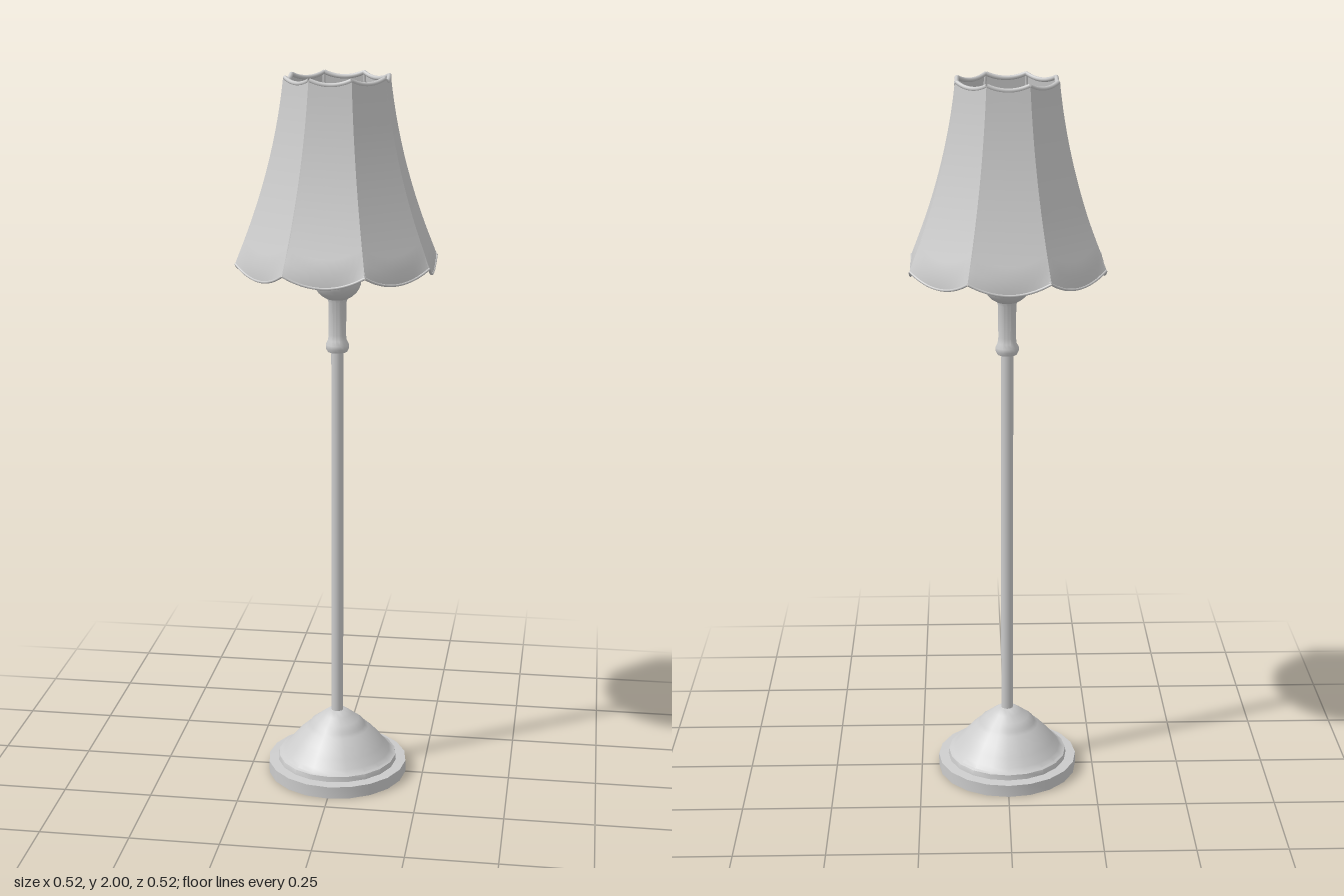
import * as THREE from 'three';
import { toCreasedNormals } from 'three/addons/utils/BufferGeometryUtils.js';

const SIDES = 8;
const STEP = (Math.PI * 2) / SIDES;
const TAN = Math.tan(STEP / 2);
const material = new THREE.MeshStandardMaterial({ color: 0xcccccc });
const clothMaterial = new THREE.MeshStandardMaterial({ color: 0xcccccc, side: THREE.DoubleSide });

function add(parent, name, geometry, mat = material) {
  const mesh = new THREE.Mesh(geometry, mat);
  mesh.name = name;
  parent.add(mesh);
  return mesh;
}

// Turned part from [radius, height] pairs, bottom to top
function turned(points, segments = 16) {
  const lathe = new THREE.LatheGeometry(points.map(([r, y]) => new THREE.Vector2(r, y)), segments);
  return toCreasedNormals(lathe, 0.7);
}

// Distance of the shade panel from the axis at height y: a bell flare
function flare(y) {
  const t = THREE.MathUtils.clamp((1.995 - y) / 0.485, 0, 1);
  return 0.135 + 0.125 * (0.4 * t + 0.6 * t * t);
}
const topEdge = (u) => 1.994 - 0.012 * (1 - u * u);
const bottomEdge = (u) => 1.508 - 0.03 * (1 - u * u);

// Point on the panel facing +z; u runs -1..1 across it, inset moves it inward
function panelPoint(u, y, inset = 0) {
  const a = flare(y) - inset;
  return new THREE.Vector3(a * TAN * u, y, a);
}

function panelGeometry() {
  const geometry = new THREE.PlaneGeometry(2, 1, 12, 14);
  const pos = geometry.attributes.position;
  for (let i = 0; i < pos.count; i++) {
    const u = pos.getX(i);
    const y = THREE.MathUtils.lerp(bottomEdge(u), topEdge(u), pos.getY(i) + 0.5);
    const p = panelPoint(u, y);
    pos.setXYZ(i, p.x, p.y, p.z);
  }
  geometry.computeVertexNormals();
  return geometry;
}

function tubeThrough(count, radius, pointAt) {
  const points = Array.from({ length: count + 1 }, (_, i) => pointAt(i / count));
  return new THREE.TubeGeometry(new THREE.CatmullRomCurve3(points), count * 2, radius, 8);
}

export function createModel() {
  const lamp = new THREE.Group();
  lamp.name = 'floorLamp';

  // Stepped, domed foot
  add(lamp, 'base', turned([
    [0, 0], [0.2, 0], [0.2, 0.035], [0.172, 0.037], [0.17, 0.052], [0.162, 0.055],
    [0.152, 0.065], [0.134, 0.087], [0.112, 0.112], [0.09, 0.132], [0.08, 0.14],
    [0.077, 0.147], [0.062, 0.158], [0.042, 0.174], [0.026, 0.185], [0, 0.187],
  ], 20));

  // Pole
  const pole = add(lamp, 'pole', new THREE.CylinderGeometry(0.017, 0.017, 1.1, 12));
  pole.position.y = 0.72;

  // Collar and neck above the pole
  add(lamp, 'neck', turned([
    [0.017, 1.25], [0.027, 1.252], [0.032, 1.262], [0.032, 1.272], [0.026, 1.284],
    [0.024, 1.3], [0.025, 1.39], [0.03, 1.405], [0, 1.41],
  ]));

  // Ball and the dish over it
  const ball = add(lamp, 'ball', new THREE.SphereGeometry(0.066, 20, 14));
  ball.position.y = 1.453;
  ball.scale.y = 0.9;
  add(lamp, 'dish', turned([
    [0.028, 1.5], [0.034, 1.515], [0.06, 1.53], [0.066, 1.54], [0.06, 1.546],
    [0.025, 1.548], [0.022, 1.58], [0, 1.585],
  ]));

  // Rounded hub with a small finial
  const hub = add(lamp, 'hub', new THREE.SphereGeometry(0.04, 20, 14));
  hub.position.y = 1.6;
  const finial = add(lamp, 'finial', new THREE.CylinderGeometry(0.008, 0.008, 0.02, 10));
  finial.position.y = 1.645;

  // Shade: eight flared panels with scalloped edges, trims and corner ribs
  const shade = new THREE.Group();
  shade.name = 'shade';
  lamp.add(shade);
  const panel = panelGeometry();
  const topTrim = tubeThrough(8, 0.006, (t) => panelPoint(2 * t - 1, topEdge(2 * t - 1), 0.004));
  const bottomTrim = tubeThrough(10, 0.0035, (t) => panelPoint(2 * t - 1, bottomEdge(2 * t - 1), 0.001));
  const rib = tubeThrough(8, 0.004, (t) => panelPoint(1, THREE.MathUtils.lerp(1.508, 1.99, t), 0.004));
  // Arm from the hub to a lower corner of the shade
  const arm = tubeThrough(1, 0.005, (t) =>
    new THREE.Vector3(0, 1.6, 0).lerp(panelPoint(1, 1.51, 0.003), t));

  for (let i = 0; i < SIDES; i++) {
    const side = new THREE.Group();
    side.name = 'shadeSide';
    side.rotation.y = i * STEP;
    add(side, 'shadePanel', panel, clothMaterial);
    add(side, 'topTrim', topTrim);
    add(side, 'bottomTrim', bottomTrim);
    add(side, 'rib', rib);
    if (i % 2 === 0) add(side, 'arm', arm);
    shade.add(side);
  }
  return lamp;
}
